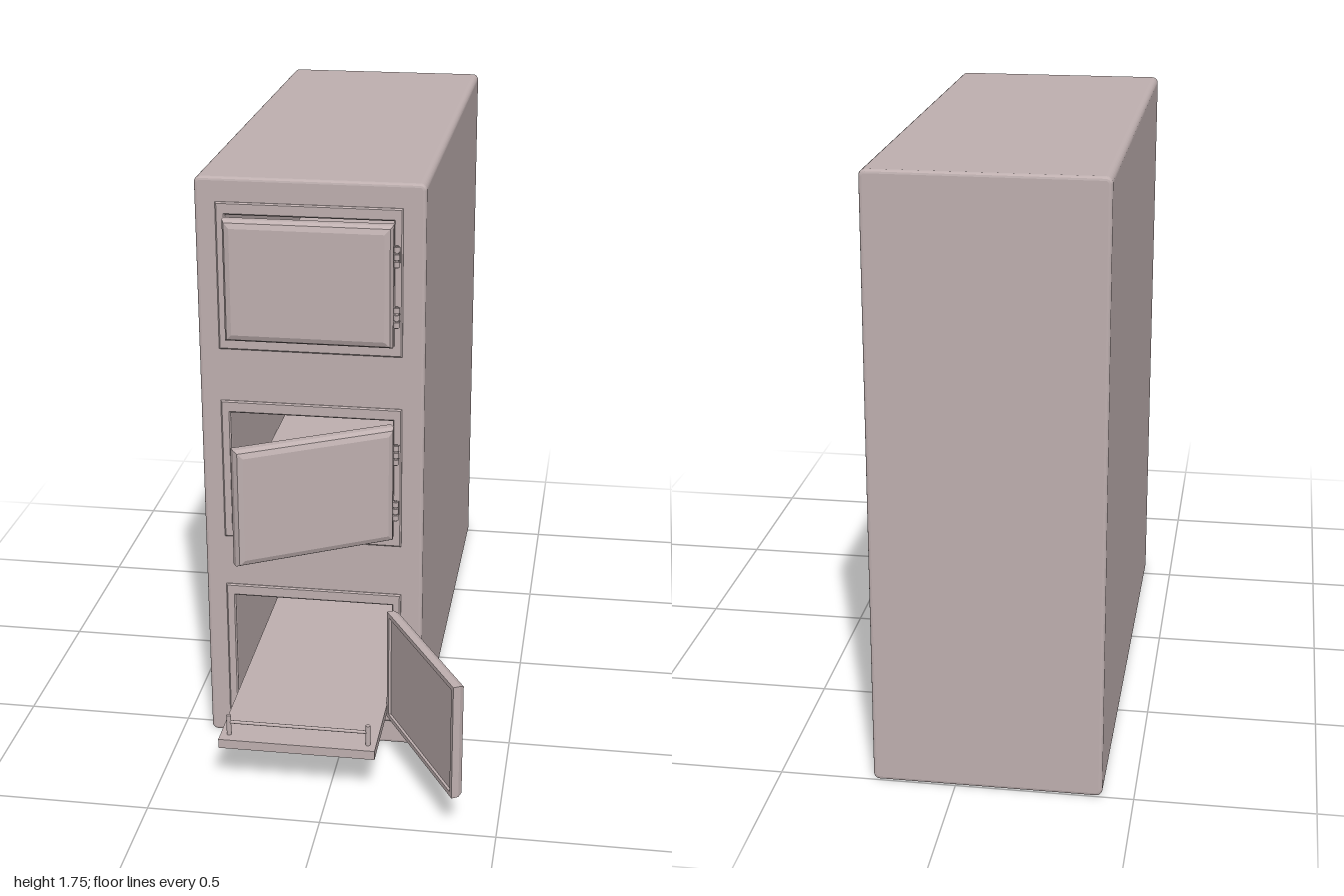
import * as THREE from 'three';

const material = new THREE.MeshStandardMaterial({ color: 0xbfb0b0 });

// Cabinet and compartment dimensions
const BODY = { x0: -0.412, x1: 0.234, y0: 0, y1: 1.745, z0: -1, z1: 0.55 };
const OPEN = { x0: -0.325, x1: 0.145, h: 0.355 };
const COMPARTMENTS = [
  { name: 'top', y: 1.285, angle: 0, trayFront: 0.5 },
  { name: 'middle', y: 0.7, angle: 30, trayFront: 0.5 },
  { name: 'bottom', y: 0.115, angle: 120, trayFront: 0.858 },
];

function mesh(name, geometry, x = 0, y = 0, z = 0) {
  const m = new THREE.Mesh(geometry, material);
  m.name = name;
  m.position.set(x, y, z);
  return m;
}

// Box given by its two opposite corners
function boxBetween(name, [x0, y0, z0], [x1, y1, z1]) {
  return mesh(name, new THREE.BoxGeometry(x1 - x0, y1 - y0, z1 - z0),
    (x0 + x1) / 2, (y0 + y1) / 2, (z0 + z1) / 2);
}

function rect(target, x0, y0, x1, y1) {
  target.moveTo(x0, y0);
  target.lineTo(x1, y0);
  target.lineTo(x1, y1);
  target.lineTo(x0, y1);
  target.closePath();
  return target;
}

function roundRect(x0, y0, x1, y1, r) {
  const s = new THREE.Shape();
  s.moveTo(x0 + r, y0);
  s.lineTo(x1 - r, y0);
  s.absarc(x1 - r, y0 + r, r, -Math.PI / 2, 0);
  s.lineTo(x1, y1 - r);
  s.absarc(x1 - r, y1 - r, r, 0, Math.PI / 2);
  s.lineTo(x0 + r, y1);
  s.absarc(x0 + r, y1 - r, r, Math.PI / 2, Math.PI);
  s.lineTo(x0, y0 + r);
  s.absarc(x0 + r, y0 + r, r, Math.PI, Math.PI * 1.5);
  return s;
}

// Housing with three deep compartments, closed at the back
function makeBody() {
  const group = new THREE.Group();
  group.name = 'cabinetBody';
  const b = 0.01;
  const shape = roundRect(BODY.x0, BODY.y0, BODY.x1, BODY.y1, 0.018);
  for (const c of COMPARTMENTS) {
    shape.holes.push(rect(new THREE.Path(), OPEN.x0, c.y, OPEN.x1, c.y + OPEN.h));
    group.add(boxBetween(c.name + 'CompartmentBack',
      [OPEN.x0 - b, c.y - b, BODY.z0], [OPEN.x1 + b, c.y + OPEN.h + b, BODY.z0 + 0.04]));
  }
  const geometry = new THREE.ExtrudeGeometry(shape, {
    depth: BODY.z1 - BODY.z0 - 2 * b, curveSegments: 4,
    bevelThickness: b, bevelSize: b, bevelOffset: -b, bevelSegments: 3,
  });
  group.add(mesh('housing', geometry, 0, 0, BODY.z0 + b));
  return group;
}

// Raised frame around one opening
function makeFrame(c) {
  const b = 0.004;
  const shape = rect(new THREE.Shape(), -0.353, c.y - 0.038, 0.171, c.y + OPEN.h + 0.036);
  shape.holes.push(rect(new THREE.Path(), OPEN.x0, c.y, OPEN.x1, c.y + OPEN.h));
  const geometry = new THREE.ExtrudeGeometry(shape, {
    depth: 0.006, bevelThickness: b, bevelSize: b, bevelOffset: -b, bevelSegments: 1,
  });
  return mesh(c.name + 'Frame', geometry, 0, 0, BODY.z1 - b);
}

// Door hung from its hinge line, outer edges bevelled, inner side recessed
function makeDoor(c) {
  const group = new THREE.Group();
  group.name = c.name + 'Door';
  const w = 0.475, h = OPEN.h - 0.004;
  const levels = [{ z: -0.007, inset: 0 }, { z: 0.006, inset: 0 },
    { z: 0.019, inset: 0.007 }, { z: 0.025, inset: 0.022 }];
  const slab = new THREE.BoxGeometry(w, h, 3, 1, 1, 3);
  const p = slab.attributes.position;
  for (let i = 0; i < p.count; i++) {
    const { z, inset } = levels[Math.round(p.getZ(i) + 1.5)];
    p.setXYZ(i, p.getX(i) - Math.sign(p.getX(i)) * inset,
      p.getY(i) - Math.sign(p.getY(i)) * inset, z);
  }
  const flat = slab.toNonIndexed();
  flat.computeVertexNormals();
  group.add(mesh('doorPanel', flat, -w / 2, h / 2));

  const rim = rect(new THREE.Shape(), -w, 0, 0, h);
  rim.holes.push(rect(new THREE.Path(), -w + 0.014, 0.014, -0.014, h - 0.014));
  group.add(mesh('doorRim',
    new THREE.ExtrudeGeometry(rim, { depth: 0.008, bevelEnabled: false }), 0, 0, -0.015));

  group.position.set(0.149, c.y + 0.002, 0.585);
  group.rotation.y = THREE.MathUtils.degToRad(c.angle);
  return group;
}

// Two hinges per door: pin, three knuckles and a leaf on the frame
function makeHinges(c) {
  const group = new THREE.Group();
  group.name = c.name + 'Hinges';
  for (const dy of [0.088, 0.262]) {
    const y = c.y + dy;
    group.add(mesh('hingePin', new THREE.CylinderGeometry(0.005, 0.005, 0.064, 10), 0.157, y, 0.578));
    for (const k of [-0.021, 0, 0.021]) {
      group.add(mesh('hingeKnuckle', new THREE.CylinderGeometry(0.009, 0.009, 0.016, 12), 0.157, y + k, 0.578));
    }
    group.add(boxBetween('hingeLeaf', [0.15, y - 0.022, 0.555], [0.164, y + 0.022, 0.575]));
  }
  return group;
}

// Sliding tray with a handle rail at its front
function makeTray(c) {
  const group = new THREE.Group();
  group.name = c.name + 'Tray';
  const y = c.y, z = c.trayFront, railZ = z - 0.034;
  group.add(boxBetween('trayPlate', [-0.32, y + 0.014, z - 1.4], [0.137, y + 0.042, z]));
  for (const x of [-0.295, 0.113]) {
    group.add(mesh('railPost', new THREE.CylinderGeometry(0.007, 0.007, 0.064, 12), x, y + 0.073, railZ));
  }
  const rail = mesh('handleRail', new THREE.CylinderGeometry(0.005, 0.005, 0.408, 12), -0.091, y + 0.083, railZ);
  rail.rotation.z = Math.PI / 2;
  group.add(rail);
  return group;
}

export function createModel() {
  const model = new THREE.Group();
  model.name = 'coldStorageCabinet';
  model.add(makeBody());
  for (const c of COMPARTMENTS) {
    model.add(makeFrame(c), makeDoor(c), makeHinges(c), makeTray(c));
  }
  return model;
}
